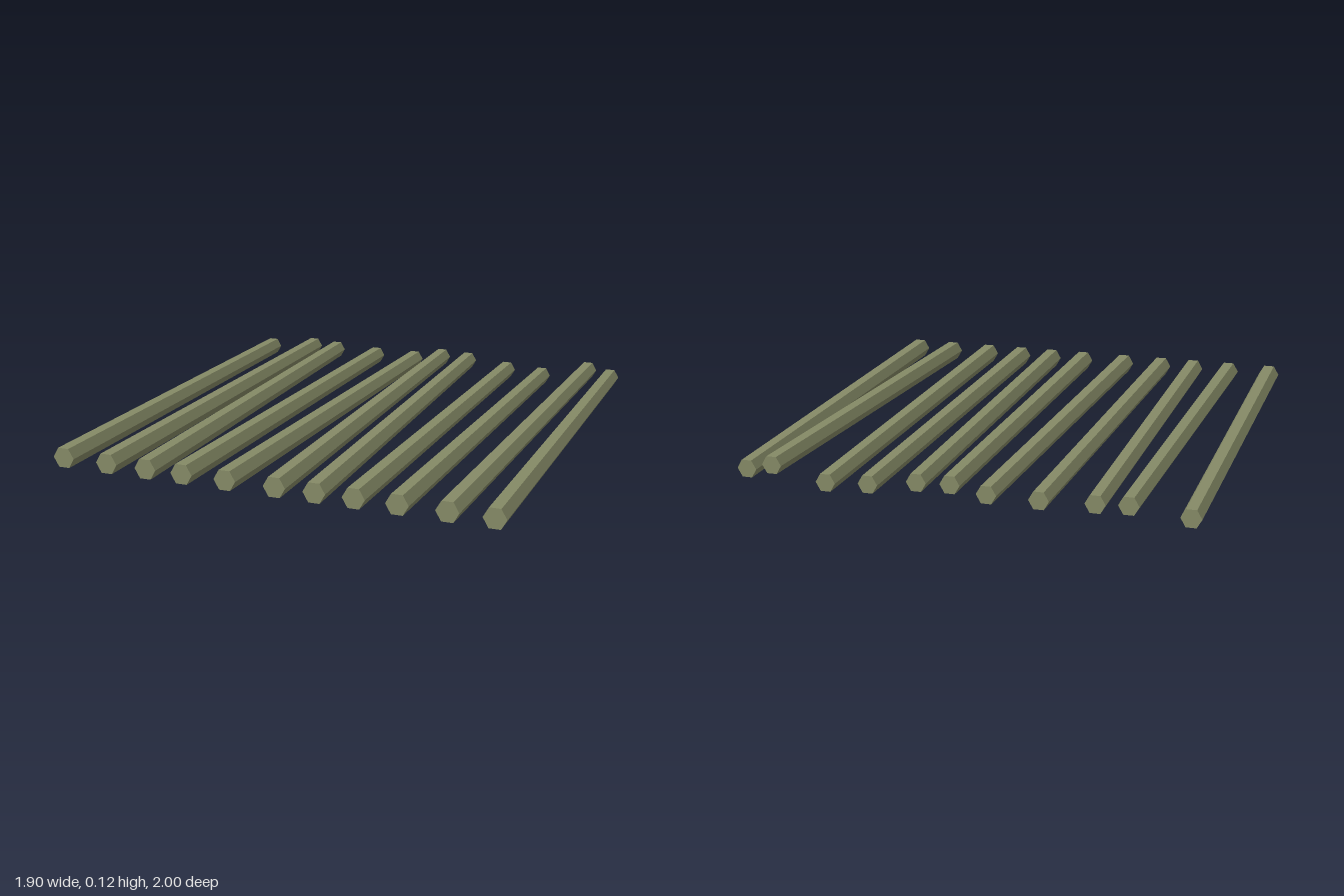
import * as THREE from 'three';

// each pole: x at the front end, x at the back end, y of the back end's centre
const POLES = [
  [-0.90, -0.907, 0.046], [-0.703, -0.675, 0.069], [-0.528, -0.548, 0.062],
  [-0.368, -0.331, 0.053], [-0.18, -0.125, 0.054], [0.03, 0.02, 0.079],
  [0.195, 0.156, 0.074], [0.355, 0.356, 0.046], [0.528, 0.533, 0.035],
  [0.723, 0.76, 0.085], [0.903, 0.868, 0.06],
];
const FRONT_Y = 0.062, FRONT_R = 0.0465, BACK_R = 0.0405;

// tapered hexagonal pole along z, leaned by shearing so both ends stay square
function poleGeometry([xFront, xBack, yBack]) {
  const geo = new THREE.CylinderGeometry(FRONT_R, BACK_R, 2, 6, 1, false, Math.PI / 6);
  geo.rotateX(Math.PI / 2);
  const p = geo.attributes.position;
  for (let i = 0; i < p.count; i++) {
    const t = (1 - p.getZ(i)) / 2;
    p.setX(i, p.getX(i) + THREE.MathUtils.lerp(xFront, xBack, t));
    p.setY(i, p.getY(i) + THREE.MathUtils.lerp(FRONT_Y, yBack, t));
  }
  geo.computeVertexNormals();
  return geo;
}

export function createModel() {
  const group = new THREE.Group();
  group.name = 'poleRow';
  const wood = new THREE.MeshStandardMaterial({ color: 0x858a66, flatShading: true });
  wood.name = 'olive wood';
  POLES.forEach((pole, i) => {
    const mesh = new THREE.Mesh(poleGeometry(pole), wood);
    mesh.name = `pole${i + 1}`;
    group.add(mesh);
  });
  return group;
}
